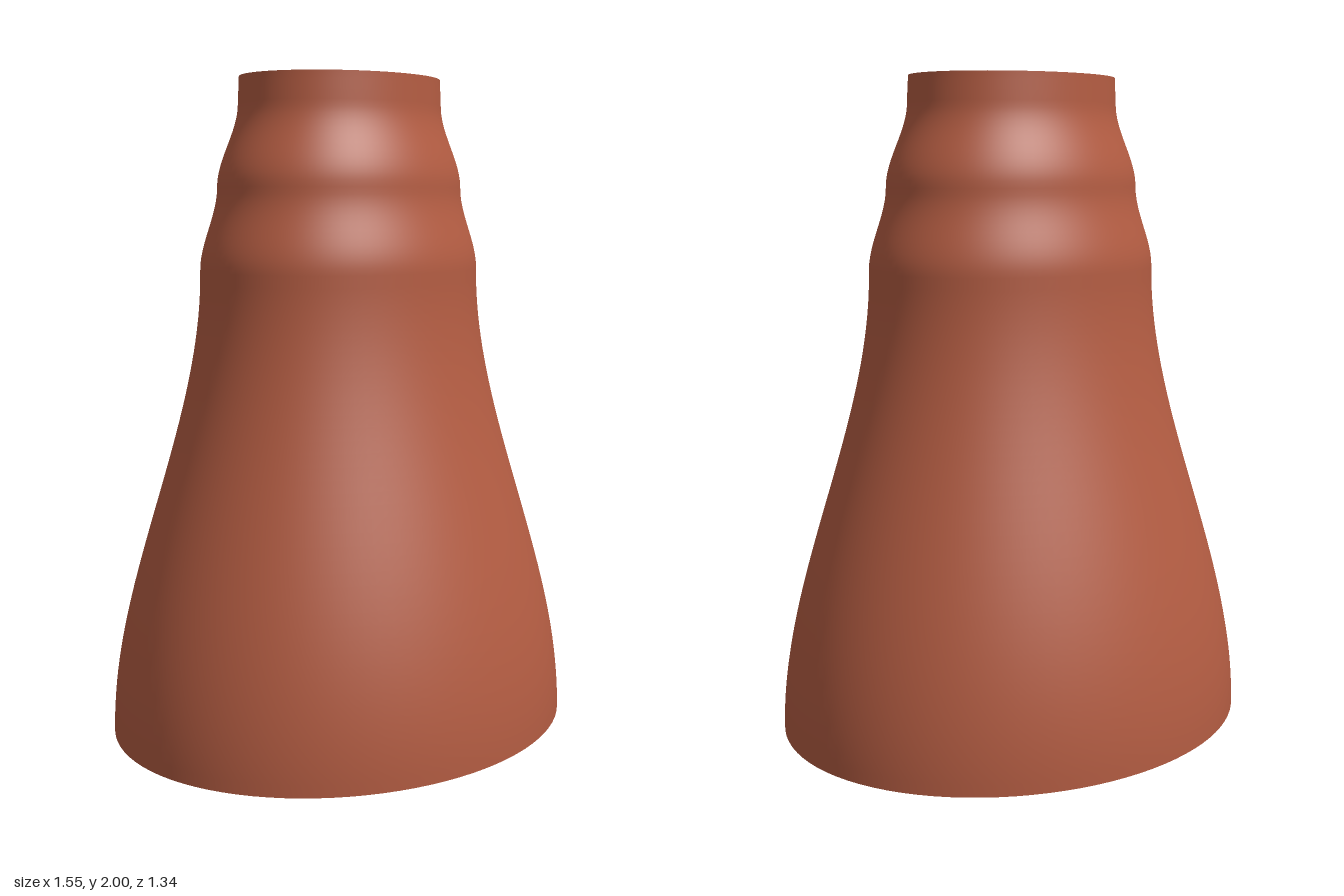
import * as THREE from 'three';

// Oval rings up the sleeve: [height, half width in x, half depth in z]
const KEYS = [
  [0, 0.776, 0.668],
  [1.42, 0.485, 0.389],
  [1.67, 0.428, 0.338],
  [1.92, 0.356, 0.279],
  [2, 0.352, 0.276],
];
const SEGMENTS = 96;

// Rings between the keys, eased so that every step starts and ends upright
function easedRings(keys, steps) {
  const rings = [keys[0]];
  for (let k = 0; k < keys.length - 1; k++) {
    const [a, b] = [keys[k], keys[k + 1]];
    for (let i = 1; i <= steps[k]; i++) {
      const t = i / steps[k];
      const s = t * t * (3 - 2 * t);
      rings.push([a[0] + (b[0] - a[0]) * t, a[1] + (b[1] - a[1]) * s, a[2] + (b[2] - a[2]) * s]);
    }
  }
  return rings;
}

// Open tube through a list of oval rings
function ovalTube(rings) {
  const positions = [];
  const index = [];
  rings.forEach(([y, rx, rz], r) => {
    for (let i = 0; i < SEGMENTS; i++) {
      const angle = (i / SEGMENTS) * Math.PI * 2;
      positions.push(rx * Math.sin(angle), y, rz * Math.cos(angle));
      if (r === 0) continue;
      const next = (i + 1) % SEGMENTS;
      const low = (r - 1) * SEGMENTS;
      const high = r * SEGMENTS;
      index.push(low + i, low + next, high + next, low + i, high + next, high + i);
    }
  });
  const geometry = new THREE.BufferGeometry();
  geometry.setAttribute('position', new THREE.Float32BufferAttribute(positions, 3));
  geometry.setIndex(index);
  geometry.computeVertexNormals();
  return geometry;
}

export function createModel() {
  const group = new THREE.Group();
  group.name = 'flaredSleeve';
  const material = new THREE.MeshStandardMaterial({ color: 0xb35c42, side: THREE.DoubleSide });
  const add = (name, geometry) => {
    const mesh = new THREE.Mesh(geometry, material);
    mesh.name = name;
    group.add(mesh);
  };

  // Flared body with two soft steps below the collar
  add('sleeveBody', ovalTube(easedRings(KEYS, [40, 12, 12, 3])));

  // Narrow hem turned up inside the bottom opening
  const [, rx, rz] = KEYS[0];
  add('innerHem', ovalTube([[0.08, rx - 0.008, rz - 0.008], [0, rx - 0.004, rz - 0.004], [0, rx, rz]]));
  return group;
}
